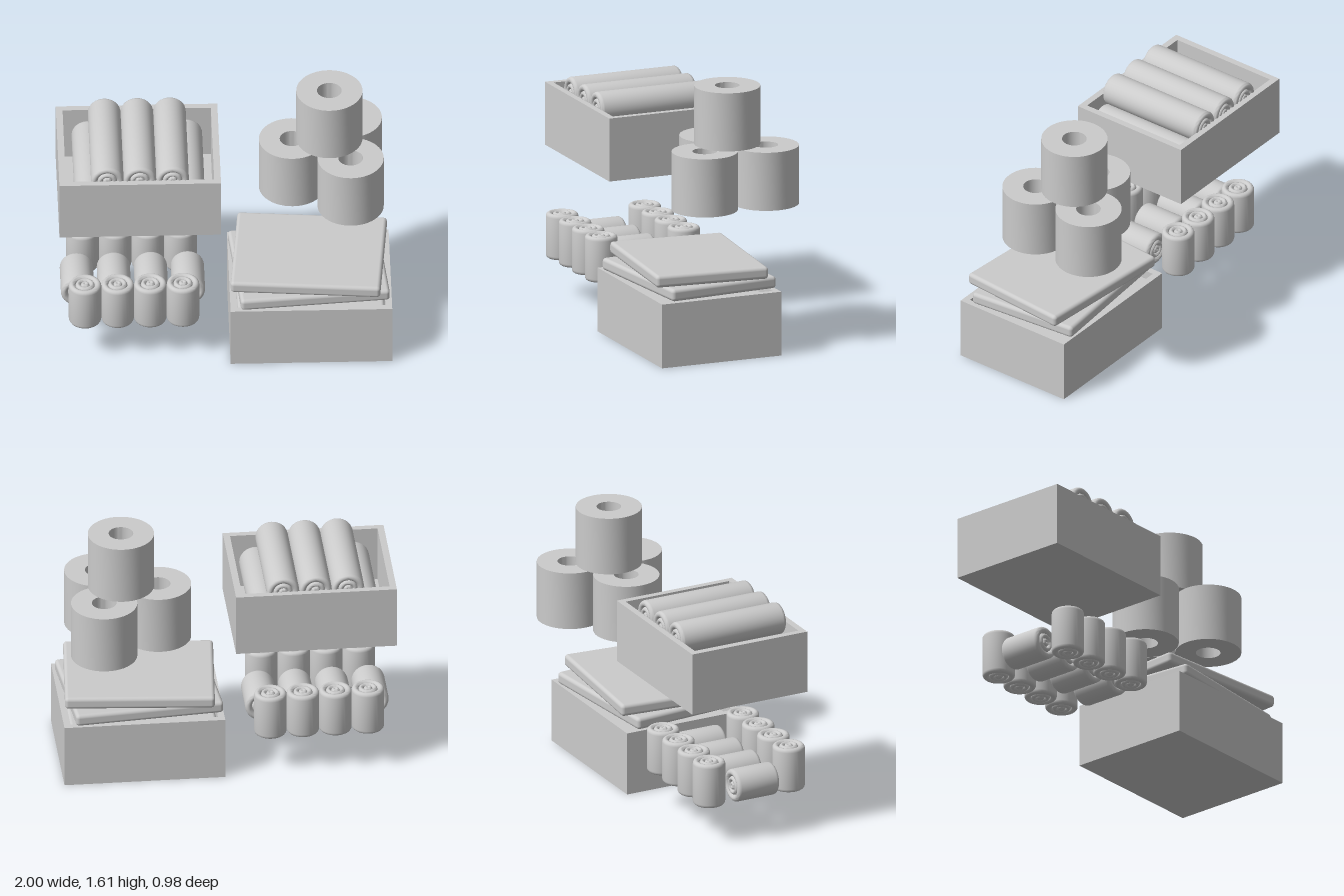
import * as THREE from 'three';
import { toCreasedNormals } from 'three/addons/utils/BufferGeometryUtils.js';
import { RoundedBoxGeometry } from 'three/addons/geometries/RoundedBoxGeometry.js';

const material = new THREE.MeshStandardMaterial({ color: 0xcccccc });

function add(parent, name, geometry, x, y, z) {
  const mesh = new THREE.Mesh(geometry, material);
  mesh.name = name;
  mesh.position.set(x, y, z);
  parent.add(mesh);
  return mesh;
}

function addGroup(parent, name) {
  const group = new THREE.Group();
  group.name = name;
  parent.add(group);
  return group;
}

// Open crate: four walls as one frame, plus a floor; origin at the bottom centre
function addCrate(parent, width, height, depth, wall) {
  const rect = (path, w, d) => {
    path.moveTo(-w / 2, -d / 2);
    path.lineTo(w / 2, -d / 2);
    path.lineTo(w / 2, d / 2);
    path.lineTo(-w / 2, d / 2);
    path.closePath();
    return path;
  };
  const innerW = width - 2 * wall, innerD = depth - 2 * wall;
  const shape = rect(new THREE.Shape(), width, depth);
  shape.holes.push(rect(new THREE.Path(), innerW, innerD));
  const frame = new THREE.ExtrudeGeometry(shape, { depth: height, bevelEnabled: false });
  frame.rotateX(-Math.PI / 2);
  add(parent, 'crateWalls', frame, 0, 0, 0);
  add(parent, 'crateFloor', new THREE.BoxGeometry(innerW, wall, innerD), 0, wall / 2, 0);
}

// Rolled towel standing on y: soft edges and coiled ring ridges on both ends
function rollGeometry(radius, length) {
  const rings = [0, 0.027, 0.058, radius];
  const depth = 0.022;
  const top = [];
  for (let i = rings.length - 1; i > 0; i--) {
    const mid = (rings[i] + rings[i - 1]) / 2, half = (rings[i] - rings[i - 1]) / 2;
    const steps = 8;
    for (let s = i === rings.length - 1 ? 0 : 1; s <= steps; s++) {
      const a = (s / steps) * Math.PI;
      const r = Math.max(0, mid + half * Math.cos(a));
      top.push(new THREE.Vector2(r, length / 2 - depth + depth * Math.sin(a)));
    }
  }
  const bottom = top.map((p) => new THREE.Vector2(p.x, -p.y)).reverse();
  return toCreasedNormals(new THREE.LatheGeometry([...bottom, ...top], 32), 0.9);
}

// Thick paper tube with a hole through it; origin at the bottom centre
function tubeGeometry(outer, inner, height) {
  const points = [[inner, 0], [outer, 0], [outer, height], [inner, height], [inner, 0]];
  const profile = points.map(([r, y]) => new THREE.Vector2(r, y));
  return toCreasedNormals(new THREE.LatheGeometry(profile, 48), 0.6);
}

export function createModel() {
  const model = new THREE.Group();
  model.name = 'towelsAndRolls';

  // Raised crate filled with two layers of long rolled towels
  const rollCrate = addGroup(model, 'rollCrate');
  rollCrate.position.set(-0.515, 0.905, 0);
  addCrate(rollCrate, 0.97, 0.39, 0.78, 0.04);
  const longRoll = rollGeometry(0.098, 0.71);
  longRoll.rotateX(Math.PI / 2);
  for (const [count, y] of [[4, 0.215], [3, 0.383]]) {
    for (let i = 0; i < count; i++) {
      add(rollCrate, 'longRoll', longRoll, (i - (count - 1) / 2) * 0.196, y, 0);
    }
  }

  // Lower crate with folded towels stacked inside and two twisted ones on top
  const towelCrate = addGroup(model, 'towelCrate');
  towelCrate.position.set(0.51, 0, 0.1);
  addCrate(towelCrate, 0.97, 0.395, 0.78, 0.04);
  const towel = new RoundedBoxGeometry(0.885, 0.075, 0.695, 4, 0.022);
  for (let i = 0; i < 4; i++) add(towelCrate, 'innerTowel', towel, 0, 0.085 + i * 0.078, 0);
  const bigTowel = new RoundedBoxGeometry(0.9, 0.075, 0.71, 4, 0.022);
  [1, -1].forEach((turn, i) => {
    const mesh = add(towelCrate, 'topTowel', bigTowel, -0.005, 0.436 + i * 0.079, 0);
    mesh.rotation.y = turn * 0.087;
  });

  // Pyramid of four paper rolls
  const paperRolls = addGroup(model, 'paperRolls');
  const tube = tubeGeometry(0.199, 0.074, 0.36);
  const spots = [[0.41, 0.89, -0.093], [0.756, 0.89, 0.107], [0.756, 0.89, -0.293], [0.634, 1.25, -0.093]];
  for (const [x, y, z] of spots) add(paperRolls, 'paperRoll', tube, x, y, z);

  // Short rolled towels: two upright rows with a lying row between them
  const shortRolls = addGroup(model, 'shortRolls');
  const upright = rollGeometry(0.098, 0.28);
  const lying = rollGeometry(0.1, 0.28);
  lying.rotateX(Math.PI / 2);
  for (let i = 0; i < 4; i++) {
    const step = i - 1.5;
    for (const z of [0.345, -0.195]) {
      add(shortRolls, 'uprightRoll', upright, -0.551 + step * 0.196, 0.38, z);
    }
    add(shortRolls, 'lyingRoll', lying, -0.553 + step * 0.222, 0.342, 0.075);
  }

  return model;
}
